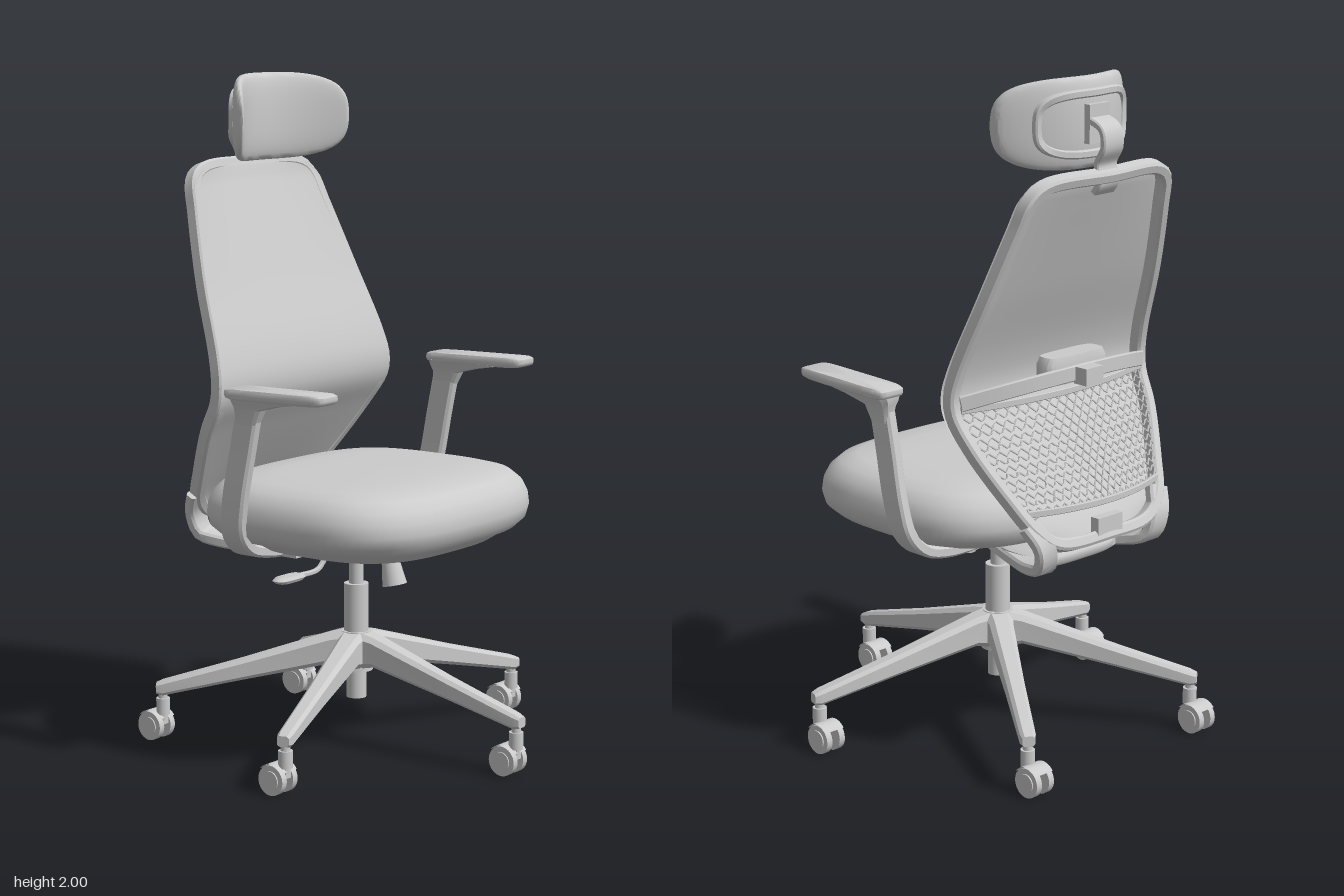
import * as THREE from 'three';
import { toCreasedNormals, mergeGeometries } from 'three/addons/utils/BufferGeometryUtils.js';

const V = (x, y, z) => new THREE.Vector3(x, y, z);
const mat = new THREE.MeshStandardMaterial({ color: 0xcccccc });
const thinMat = new THREE.MeshStandardMaterial({ color: 0xcccccc, side: THREE.DoubleSide });

function add(parent, name, geo, x = 0, y = 0, z = 0, material = mat) {
  const m = new THREE.Mesh(geo, material);
  m.name = name;
  m.position.set(x, y, z);
  parent.add(m);
  return m;
}

// Skin over equal-length rings that run counter-clockwise about the direction of travel
function loft(rings, closed = false, crease = 0.6) {
  const n = rings[0].length, pos = [], idx = [];
  rings.forEach(r => r.forEach(p => pos.push(p.x, p.y, p.z)));
  const spans = closed ? rings.length : rings.length - 1;
  for (let i = 0; i < spans; i++) for (let j = 0; j < n; j++) {
    const i2 = (i + 1) % rings.length, k = (j + 1) % n;
    const a = i * n + j, b = i * n + k, c = i2 * n + k, d = i2 * n + j;
    idx.push(a, b, c, a, c, d);
  }
  if (!closed) [0, rings.length - 1].forEach((i, end) => {
    const c = rings[i].reduce((s, p) => s.add(p), V(0, 0, 0)).divideScalar(n);
    const ci = pos.length / 3;
    pos.push(c.x, c.y, c.z);
    for (let j = 0; j < n; j++) {
      const a = i * n + j, b = i * n + (j + 1) % n;
      idx.push(ci, end ? a : b, end ? b : a);
    }
  });
  const g = new THREE.BufferGeometry();
  g.setAttribute('position', new THREE.Float32BufferAttribute(pos, 3));
  g.setIndex(idx);
  return toCreasedNormals(g, crease);
}

// Superellipse point and chamfered rectangle
const sup = (t, n) => Math.sign(t) * Math.pow(Math.abs(t), 2 / n);
function chamfer(a, b) {
  const c = Math.min(a, b) * 0.4;
  return [[a, -b + c], [a, b - c], [a - c, b], [-a + c, b], [-a, b - c], [-a, -b + c], [-a + c, -b], [a - c, -b]];
}

// Sweep of a chamfered bar along a smooth path; w is its size along "up", d across
function sweep(pts, w, d, up, closed = false, n = 24) {
  const curve = new THREE.CatmullRomCurve3(pts, closed), rings = [];
  for (let i = 0; i < (closed ? n : n + 1); i++) {
    const t = i / n, p = curve.getPointAt(t), T = curve.getTangentAt(t);
    const S = T.clone().cross(typeof up === 'function' ? up(p) : up).normalize();
    const U = S.clone().cross(T);
    rings.push(chamfer(w / 2, d / 2).map(([a, b]) => p.clone().addScaledVector(U, a).addScaledVector(S, b)));
  }
  return loft(rings, closed);
}

// Cushion-like solid: rows of [scale, y], on a superelliptic plan
function pillow(a, b, n, rows, sag = () => 0, seg = 64) {
  return loft(rows.map(([s, y]) => Array.from({ length: seg }, (_, j) => {
    const t = j / seg * Math.PI * 2;
    const x = a * s * sup(Math.sin(t), n), z = b * s * sup(Math.cos(t), n);
    return V(x, y + sag(x, z), z);
  })), false, 0.9);
}

// Backrest edge: [x, y, half width]
const EDGE = [[-.462, .69, .2], [-.44, .74, .27], [-.385, .83, .32], [-.3, .97, .38], [-.247, 1.06, .398], [-.24, 1.12, .4],
  [-.258, 1.2, .39], [-.335, 1.4, .355], [-.405, 1.6, .31], [-.435, 1.69, .285], [-.445, 1.72, .24]];
const edgeCurve = new THREE.CatmullRomCurve3(EDGE.map(e => V(...e)));
function edgeAt(y) {
  let i = 0;
  while (i < EDGE.length - 2 && EDGE[i + 1][1] < y) i++;
  const t = (y - EDGE[i][1]) / (EDGE[i + 1][1] - EDGE[i][1]);
  return [0, 2].map(k => EDGE[i][k] + t * (EDGE[i + 1][k] - EDGE[i][k]));
}

function buildBase(g) {
  const cx = -.035;
  add(g, 'hub', new THREE.CylinderGeometry(.045, .05, .12, 32), cx, .285, 0);
  add(g, 'columnFoot', new THREE.CylinderGeometry(.03, .03, .12, 32), cx, .2, 0);
  add(g, 'columnSleeve', new THREE.CylinderGeometry(.037, .037, .15, 32), cx, .415, 0);
  add(g, 'gasPiston', new THREE.CylinderGeometry(.022, .022, .12, 24), cx, .54, 0);
  add(g, 'pistonSocket', new THREE.CylinderGeometry(.036, .03, .09, 24), cx, .61, 0);
  // [radius, bottom, top, half width]
  const stations = [[.01, .23, .35, .045], [.08, .245, .335, .036], [.35, .19, .252, .027], [.585, .14, .185, .023], [.605, .145, .176, .018]];
  const legGeo = loft(stations.map(([r, lo, hi, w]) =>
    chamfer((hi - lo) / 2, w).map(([a, b]) => V(r, (lo + hi) / 2 + a, b))));
  for (let i = 0; i < 5; i++) {
    const a = i * Math.PI * 2 / 5;
    add(g, 'baseLeg', legGeo, cx, 0, 0).rotation.y = a;
    const c = new THREE.Group();
    c.name = 'caster';
    c.position.set(cx + .585 * Math.cos(a), 0, -.585 * Math.sin(a));
    add(c, 'casterStem', new THREE.CylinderGeometry(.014, .014, .1, 16), 0, .115, 0);
    add(c, 'casterCollar', new THREE.CylinderGeometry(.021, .021, .05, 20), 0, .105, 0);
    add(c, 'casterBody', new THREE.BoxGeometry(.045, .04, .022), -.012, .07, 0);
    for (const s of [-1, 1]) {
      add(c, 'casterWheel', new THREE.CylinderGeometry(.044, .044, .02, 32).rotateX(Math.PI / 2), -.028, .044, s * .024);
      add(c, 'casterCap', new THREE.CylinderGeometry(.028, .028, .006, 24).rotateX(Math.PI / 2), -.028, .044, s * .035);
    }
    // Half hood over the wheels
    add(c, 'casterHood', new THREE.CylinderGeometry(.048, .048, .07, 20, 1, true, -.3, 1.9).rotateX(-Math.PI / 2).rotateZ(.6),
      -.028, .044, 0, thinMat);
    g.add(c);
  }
}

function buildSeat(g) {
  const drop = (x, z) => -.1 * Math.max(0, Math.abs(x + .02) - .2) ** 1.3 - .03 * (z / .46) ** 4 * .3;
  add(g, 'seatCushion', pillow(.4, .46, 3.1, [[.5, .655], [.8, .662], [.92, .678], [.98, .705], [1, .74], [.99, .775], [.955, .806],
    [.89, .83], [.78, .842], [.55, .846], [.25, .846]], drop), .015, 0, 0);
  add(g, 'seatShell', pillow(.34, .4, 3, [[.6, .625], [.85, .635], [1, .67]]), .04, 0, 0);
  add(g, 'tiltMechanism', pillow(.18, .12, 6, [[.8, .585], [1, .6], [1, .65]]), -.03, 0, 0);
  add(g, 'crossPlate', new THREE.BoxGeometry(.12, .03, .56), -.1, .625, 0);
  const knob = add(g, 'tensionKnob', new THREE.CylinderGeometry(.025, .037, .085, 20), .1, .545, 0);
  knob.rotation.z = .22;
  add(g, 'knobShaft', new THREE.CylinderGeometry(.014, .014, .08, 12), .085, .6, 0).rotation.z = .22;
  // Height lever on the model's side
  add(g, 'leverRod', sweep([V(-.03, .615, .1), V(-.04, .6, .13), V(-.045, .56, .17), V(-.045, .555, .26)], .014, .014, V(1, 0, 0)));
  add(g, 'leverPaddle', pillow(.025, .06, 4, [[.8, -.009], [1, 0], [.8, .009]], undefined, 24), -.045, .555, .305);
}

function buildBack(g) {
  // Perimeter frame
  const half = EDGE.map(([x, y, w]) => V(x, y, w - .018));
  const path = [...half, V(-.468, 1.728, 0), ...half.map(p => V(p.x, p.y, -p.z)).reverse(), V(-.478, .685, 0)];
  const normal = p => V(1, -(edgeAt(p.y + .04)[0] - edgeAt(p.y - .04)[0]) / .08, 0).normalize();
  add(g, 'backFrame', sweep(path, .045, .036, normal, true, 140));

  // Front panel stretched over the frame
  const panel = new THREE.PlaneGeometry(1, 1, 24, 50), P = panel.attributes.position;
  for (let i = 0; i < P.count; i++) {
    const u = P.getX(i) * 2, v = P.getY(i) + .5, e = edgeCurve.getPointAt(v);
    const bow = (1 - u * u) * .022 * Math.abs(2 * v - 1) ** 2;
    P.setXYZ(i, e.x + .025 - bow, e.y + (v > .97 ? .012 : 0) * (1 - u ** 4), -u * e.z);
  }
  panel.computeVertexNormals();
  add(g, 'backPanel', panel, 0, 0, 0, thinMat);

  // Lumbar net: zigzag strands on a surface bowed to the rear
  const strands = [], rows = 15, cols = 40;
  const net = (u, v) => {
    const y = .79 + .29 * v, [x, w] = edgeAt(y);
    return V(x - .02 - .055 * (1 - u * u), y, u * (w - .03));
  };
  for (let r = 0; r < rows; r++) {
    const path = new THREE.CurvePath();
    let last = null;
    for (let c = 0; c <= cols; c++) {
      const p = net(c / cols * 2 - 1, (r + ((r + c) % 2 ? .98 : .02)) / rows);
      if (last) path.add(new THREE.LineCurve3(last, p));
      last = p;
    }
    strands.push(new THREE.TubeGeometry(path, cols * 2, .003, 4));
  }
  add(g, 'lumbarNet', mergeGeometries(strands));
  for (const v of [0, 1]) {
    const pts = [-1, -.6, -.2, .2, .6, 1].map(u => net(u, v));
    add(g, 'lumbarNetRim', sweep(pts, .02, .01, V(0, 1, 0)));
  }

  // Arched lumbar bar with its central slider
  const arch = [-1, -.7, -.35, 0, .35, .7, 1].map(u => V(-.265 - .115 * (1 - u * u), 1.1 + .05 * (1 - u * u), u * .37));
  add(g, 'lumbarBar', sweep(arch, .045, .014, V(0, 1, 0), false, 32));
  add(g, 'lumbarSlider', new THREE.BoxGeometry(.05, .05, .07), -.405, 1.145, 0);
  add(g, 'lumbarPad', pillow(.04, .12, 4, [[.9, 1.12], [1, 1.14], [1, 1.18], [.9, 1.2]]), -.335, 0, 0);

  // Straps from the frame down and under the seat
  for (const s of [-1, 1])
    add(g, 'backStrap', sweep([V(-.43, .76, s * .265), V(-.465, .69, s * .235), V(-.45, .63, s * .22), V(-.39, .61, s * .2),
      V(-.27, .6, s * .15), V(-.12, .6, s * .09)], .07, .035, V(0, 0, 1)));
  add(g, 'backCarrier', pillow(.11, .17, 4, [[.9, .59], [1, .6], [1, .62], [.9, .63]]), -.29, 0, 0);
  add(g, 'lowerClip', new THREE.BoxGeometry(.03, .07, .1), -.482, .71, 0);
}

function buildHeadrest(g) {
  const cx = z => -.395 + .125 * (z / .25) ** 2, rings = [];
  for (let i = 0; i <= 40; i++) {
    const u = -Math.cos(i / 40 * Math.PI) * .999, z = .25 * u;
    const k = Math.pow(1 - Math.abs(u) ** 3.6, 1 / 3.6);
    const h = .13 * k, d = .026 * Math.sqrt(k);
    rings.push(Array.from({ length: 32 }, (_, j) => {
      const t = j / 32 * Math.PI * 2;
      return V(cx(z) + d * sup(Math.cos(t), 2.6), 1.87 + h * sup(Math.sin(t), 2.6), z);
    }));
  }
  add(g, 'headrestPad', loft(rings, false, 1));
  // Rear ring that holds the pad
  const ring = Array.from({ length: 24 }, (_, j) => {
    const t = j / 24 * Math.PI * 2, z = .17 * sup(Math.cos(t), 3.5);
    return V(cx(z) - .024, 1.87 + .085 * sup(Math.sin(t), 3.5), z);
  });
  add(g, 'headrestRing', sweep(ring, .022, .024, V(1, 0, 0), true, 80));
  add(g, 'headrestMount', new THREE.BoxGeometry(.035, .11, .08), -.42, 1.87, 0);
  add(g, 'headrestHanger', sweep([V(-.45, 1.68, 0), V(-.47, 1.71, 0), V(-.46, 1.76, 0), V(-.485, 1.81, 0), V(-.475, 1.86, 0),
    V(-.42, 1.885, 0)], .08, .02, V(0, 0, 1)));
}

function buildArm(g, s) {
  const arm = new THREE.Group();
  arm.name = s > 0 ? 'leftArm' : 'rightArm';
  const tilt = x => .02 * x;
  add(arm, 'armPad', pillow(.18, .05, 7, [[.9, 1.108], [.98, 1.113], [1, 1.122], [.99, 1.133], [.93, 1.138]], tilt), .07, 0, s * .48);
  // Bracket flaring from the post up to the pad: [x, y, half x, half z]
  const flare = [[-.055, 1.03, .035, .018], [-.045, 1.075, .048, .024], [-.01, 1.095, .09, .034], [.04, 1.112, .14, .043]];
  add(arm, 'armBracket', loft(flare.map(([x, y, a, b]) => chamfer(b, a).map(([p, q]) => V(x + q, y, s * .475 + p)))));
  add(arm, 'armPost', sweep([V(-.05, 1.07, s * .473), V(-.075, .95, s * .473), V(-.105, .8, s * .473), V(-.122, .71, s * .458),
    V(-.13, .655, s * .41), V(-.13, .632, s * .33), V(-.12, .625, s * .15)], .08, .036, V(1, 0, 0), false, 36));
  g.add(arm);
}

export function createModel() {
  const chair = new THREE.Group();
  chair.name = 'officeChair';
  buildBase(chair);
  buildSeat(chair);
  buildBack(chair);
  buildHeadrest(chair);
  for (const s of [-1, 1]) buildArm(chair, s);
  return chair;
}
